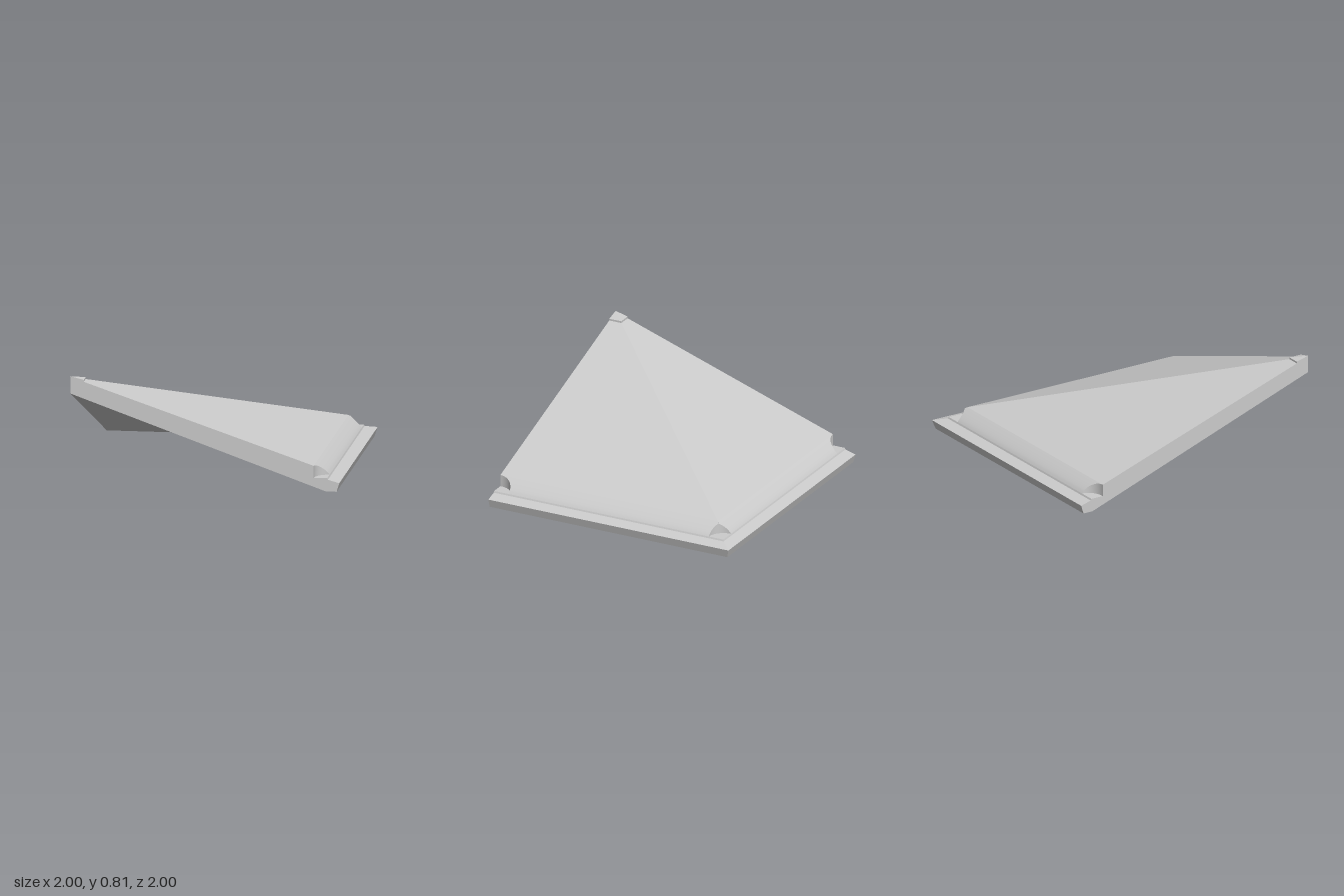
import * as THREE from 'three';
import { toCreasedNormals } from 'three/addons/utils/BufferGeometryUtils.js';

const EDGE = 0.91;      // where the upper layer ends above the eave
const FLOOR = 0.1;      // floor height of the corner notches
const STEPS = 14;
const MITRE_STEP = 5;   // bevel step at which the hip notch leaves the hip line

// Cross-section stations: x, y, front end of the strip and hip end of the strip
const station = (u, y) => ({ x: u - 1, y, front: 1, hip: 1 - u });

// Rounded lower edge of the upper layer, with its notched ends
const bevel = [];
for (let i = 0; i <= STEPS; i++) {
  const t = (i / STEPS) * Math.PI / 2;
  const s = i === STEPS ? 0 : Math.cos(t);
  const x = EDGE - 0.1 * s;
  const hip = -EDGE + (i < MITRE_STEP ? 0.1 * s : Math.sqrt(0.0144 - 0.01 * s * s));
  bevel.push({ x, y: FLOOR + 0.09 * Math.pow(s, 0.8), front: 1 - 0.125 * Math.sin(t), hip });
}

const crown = [[0, 0.81], [0.1, 0.785], [0.1, 0.771]].map(p => station(...p));
const eave = [[1.91, 0.1], [1.915, 0.088], [2, 0.065], [1.98, 0], [1.9, 0], [0, 0.68]].map(p => station(...p));

// Collects quads; the mirrored half is reflected across the hip line
function makeBuilder(mirrored) {
  const pos = [];
  const a = new THREE.Vector3(), b = new THREE.Vector3();
  const tri = (p, q, r) => {
    a.set(q[0] - p[0], q[1] - p[1], q[2] - p[2]);
    b.set(r[0] - p[0], r[1] - p[1], r[2] - p[2]);
    if (a.cross(b).length() < 1e-9) return;
    for (const v of mirrored ? [p, r, q] : [p, q, r]) {
      if (mirrored) pos.push(-v[2], v[1], -v[0]);
      else pos.push(...v);
    }
  };
  const quad = (p, q, r, s) => { tri(p, q, r); tri(p, r, s); };
  const mesh = name => {
    const geo = new THREE.BufferGeometry();
    geo.setAttribute('position', new THREE.Float32BufferAttribute(pos, 3));
    geo.computeVertexNormals();
    const m = new THREE.Mesh(toCreasedNormals(geo, 0.25), new THREE.MeshStandardMaterial({ color: 0xcccccc }));
    m.name = name;
    return m;
  };
  return { tri, quad, mesh };
}

// Sloping skin: crown, upper layer, bevel, eave and underside
function slope(mirrored) {
  const { quad, mesh } = makeBuilder(mirrored);
  for (const list of [[...crown, ...bevel], eave]) {
    for (let i = 0; i + 1 < list.length; i++) {
      const p = list[i], q = list[i + 1];
      quad([p.x, p.y, p.front], [q.x, q.y, q.front], [q.x, q.y, q.hip], [p.x, p.y, p.hip]);
    }
  }
  return mesh('slope');
}

// Curved walls and flat floors of the notches at the lower corners
function notches(mirrored) {
  const { quad, mesh } = makeBuilder(mirrored);
  for (let i = 0; i < STEPS; i++) {
    const p = bevel[i], q = bevel[i + 1];
    quad([p.x, FLOOR, p.front], [q.x, FLOOR, q.front], [q.x, q.y, q.front], [p.x, p.y, p.front]);
    quad([p.x, FLOOR, 1], [q.x, FLOOR, 1], [q.x, FLOOR, q.front], [p.x, FLOOR, p.front]);
    if (i < MITRE_STEP) continue;
    quad([p.x, p.y, p.hip], [q.x, q.y, q.hip], [q.x, FLOOR, q.hip], [p.x, FLOOR, p.hip]);
    quad([p.x, FLOOR, p.hip], [q.x, FLOOR, q.hip], [q.x, FLOOR, -q.x], [p.x, FLOOR, -p.x]);
  }
  return mesh('cornerNotches');
}

// Vertical cut face at the high end of the slope
function cutFace(mirrored) {
  const { tri, mesh } = makeBuilder(mirrored);
  const outline = [...crown, bevel[0], { x: bevel[0].x, y: FLOOR }, ...eave]
    .map(p => new THREE.Vector2(p.x, p.y)).reverse();
  for (const f of THREE.ShapeUtils.triangulateShape(outline, [])) {
    tri(...f.map(i => [outline[i].x, outline[i].y, 1]));
  }
  return mesh('cutFace');
}

export function createModel() {
  const model = new THREE.Group();
  model.name = 'cornerRoof';
  for (const mirrored of [false, true]) {
    const half = new THREE.Group();
    half.name = mirrored ? 'backRoofHalf' : 'leftRoofHalf';
    half.add(slope(mirrored), notches(mirrored), cutFace(mirrored));
    model.add(half);
  }
  return model;
}
